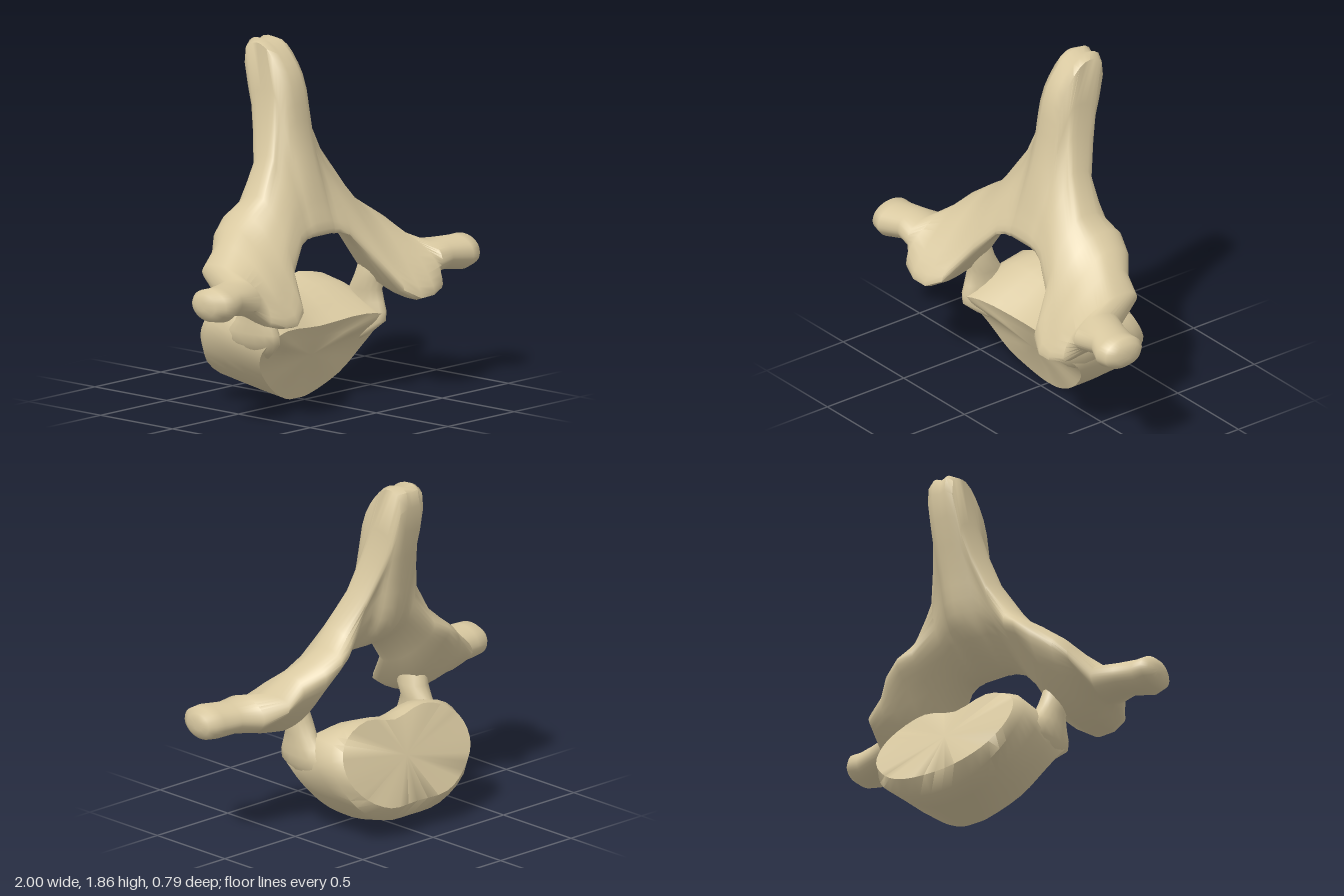
import * as THREE from 'three';
import { mergeVertices, toCreasedNormals } from 'three/addons/utils/BufferGeometryUtils.js';

const V = (x, y, z) => new THREE.Vector3(x, y, z);

// Rounds a closed ring of points
function roundRing(points, count) {
  return new THREE.CatmullRomCurve3(points, true, 'centripetal').getPoints(count).slice(0, count);
}

// Skins a row of equal rings and closes both ends; turns faces outward
function loft(rings, crease) {
  const n = rings[0].length, pos = [], tris = [];
  rings.forEach(r => r.forEach(p => pos.push(p.x, p.y, p.z)));
  for (let i = 0; i < rings.length - 1; i++) {
    for (let j = 0; j < n; j++) {
      const k = (j + 1) % n, a = i * n + j, b = i * n + k, c = a + n, d = b + n;
      tris.push([a, c, b], [b, c, d]);
    }
  }
  [0, rings.length - 1].forEach(i => {
    const mid = rings[i].reduce((s, p) => s.add(p), V(0, 0, 0)).divideScalar(n);
    const m = pos.length / 3;
    pos.push(mid.x, mid.y, mid.z);
    for (let j = 0; j < n; j++) {
      const a = i * n + j, b = i * n + (j + 1) % n;
      tris.push(i === 0 ? [m, a, b] : [m, b, a]);
    }
  });
  const at = i => V(pos[3 * i], pos[3 * i + 1], pos[3 * i + 2]);
  const volume = tris.reduce((s, [a, b, c]) => s + at(a).dot(at(b).cross(at(c))), 0);
  const index = tris.flatMap(([a, b, c]) => (volume < 0 ? [a, c, b] : [a, b, c]));
  let geo = new THREE.BufferGeometry();
  geo.setAttribute('position', new THREE.Float32BufferAttribute(pos, 3));
  geo.setIndex(index);
  geo = mergeVertices(geo, 1e-4);
  return toCreasedNormals(geo, crease);
}

// Arch sections: x, then [z, y] from lower front, over the top, to lower back
const spineSections = [
  [0, [[.13, .88], [.09, 1.05], [0, 1.37], [-.075, 1.69], [-.22, 1.83], [-.335, 1.83], [-.265, 1.35], [-.19, 1.06], [.05, .89]]],
  [.04, [[.13, .88], [.09, 1.05], [0, 1.37], [-.075, 1.70], [-.22, 1.85], [-.345, 1.84], [-.27, 1.35], [-.18, 1.06], [.05, .89]]],
  [.08, [[.13, .88], [.09, 1.03], [-.01, 1.34], [-.085, 1.68], [-.23, 1.84], [-.335, 1.81], [-.25, 1.35], [-.16, 1.06], [.05, .89]]],
  [.092, [[.13, .875], [.09, 1.02], [.01, 1.24], [-.08, 1.5], [-.15, 1.61], [-.28, 1.57], [-.235, 1.35], [-.15, 1.07], [.05, .89]]],
  [.125, [[.135, .875], [.1, 1.0], [.03, 1.17], [-.055, 1.36], [-.11, 1.46], [-.24, 1.42], [-.205, 1.27], [-.14, 1.07], [.05, .89]]],
  [.18, [[.15, .855], [.11, .98], [.05, 1.1], [-.02, 1.21], [-.07, 1.29], [-.185, 1.25], [-.165, 1.14], [-.115, 1.03], [.06, .89]]],
];
const laminaSections = [
  [.3, [[.2, .72], [.17, .85], [.11, .95], [.04, 1.04], [-.03, 1.1], [-.15, 1.08], [-.2, 1.0], [-.14, .91], [.05, .76]]],
  [.38, [[.345, .56], [.24, .72], [.14, .86], [.05, .96], [-.05, 1.015], [-.17, 1.01], [-.225, .965], [-.14, .84], [.08, .61]]],
  [.47, [[.385, .51], [.31, .64], [.17, .81], [.06, .9], [-.03, .955], [-.14, .95], [-.2, .9], [-.12, .74], [.12, .535]]],
  [.56, [[.39, .515], [.345, .62], [.2, .78], [.08, .86], [0, .89], [-.09, .88], [-.13, .83], [-.09, .72], [.13, .545]]],
  [.65, [[.36, .535], [.34, .64], [.22, .74], [.12, .78], [.02, .8], [-.09, .79], [-.115, .75], [-.05, .68], [.12, .58]]],
];
// Side wing rings: x, centre z, centre y, half depth, half height
const wingRings = [
  [.69, .18, .665, .15, .095], [.8, .19, .67, .115, .083], [.9, .225, .665, .128, .09],
  [.96, .22, .67, .12, .085], [.99, .21, .67, .08, .06], [1, .2, .67, .03, .025],
];

function archGeometry() {
  const half = [...spineSections, ...laminaSections].map(([x, pts]) => pts.map(([z, y]) => V(x, y, z)));
  for (const [x, cz, cy, rz, ry] of wingRings) {
    const ring = [];
    for (let j = 0; j < 9; j++) {
      const a = -0.95 + j * Math.PI * 2 / 9;
      ring.push(V(x, cy + ry * Math.sin(a), cz + rz * Math.cos(a)));
    }
    half.push(ring);
  }
  const rounded = half.map(r => roundRing(r, 36));
  const mirrored = rounded.slice(1).reverse().map(r => r.map(p => V(-p.x, p.y, p.z)));
  return loft([...mirrored, ...rounded], 1.1);
}

// Body outlines, left half, from lower middle to upper middle
const frontPlate = [[0, 0, -.05], [.08, .005, -.05], [.26, .1, 0], [.38, .22, .04], [.43, .32, .1], [.42, .4, .18], [.3, .425, .16], [0, .4, .11]];
const backRim = [[0, .08, -.33], [.2, .1, -.34], [.38, .21, -.33], [.455, .34, -.28], [.465, .45, -.23], [.39, .56, -.19], [.2, .61, -.18], [0, .58, -.17]];
const backPlate = [[0, .17, -.385], [.2, .18, -.4], [.34, .25, -.37], [.43, .36, -.33], [.43, .47, -.28], [.36, .555, -.24], [.2, .61, -.22], [0, .57, -.22]];

function bodyGeometry() {
  const whole = half => {
    const left = half.map(p => V(...p));
    const right = left.slice(1, -1).reverse().map(p => V(-p.x, p.y, p.z));
    return roundRing([...left, ...right], 42);
  };
  const front = whole(frontPlate), rim = whole(backRim), back = whole(backPlate);
  const hollow = front.map(p => p.clone().lerp(V(0, .24, .03), .45));
  const blend = (t, widen, lift) => front.map((p, i) => {
    const q = p.clone().lerp(rim[i], t);
    q.x *= widen;
    q.y += lift * THREE.MathUtils.smoothstep(p.y, .35, .42);
    return q;
  });
  return loft([hollow, front, blend(.3, 1.03, .01), blend(.65, 1.01, .025), rim, back], .9);
}

// Pedicle rings: y, centre x, centre z, half width, half depth
const pedicleRings = [
  [.25, .33, -.02, .03, .05], [.31, .375, 0, .055, .12], [.37, .4, .01, .065, .18], [.42, .405, .01, .066, .18],
  [.47, .408, .035, .063, .135], [.53, .41, .05, .062, .1], [.6, .41, .08, .07, .09], [.7, .43, .1, .06, .09],
];

function pedicleGeometry(side) {
  const rings = pedicleRings.map(([y, cx, cz, rx, rz]) => {
    const ring = [];
    for (let j = 0; j < 16; j++) {
      const a = j * Math.PI / 8;
      ring.push(V(side * (cx + rx * Math.cos(a)), y, cz + rz * Math.sin(a)));
    }
    return ring;
  });
  return loft(rings, 1.2);
}

export function createModel() {
  const bone = new THREE.MeshStandardMaterial({ color: 0xd8c8a0 });
  bone.name = 'bone';
  const model = new THREE.Group();
  model.name = 'vertebra';
  const add = (name, geo) => {
    const mesh = new THREE.Mesh(geo, bone);
    mesh.name = name;
    model.add(mesh);
  };
  add('vertebralBody', bodyGeometry());
  add('archWithSpineAndWings', archGeometry());
  add('leftPedicle', pedicleGeometry(1));
  add('rightPedicle', pedicleGeometry(-1));
  return model;
}
